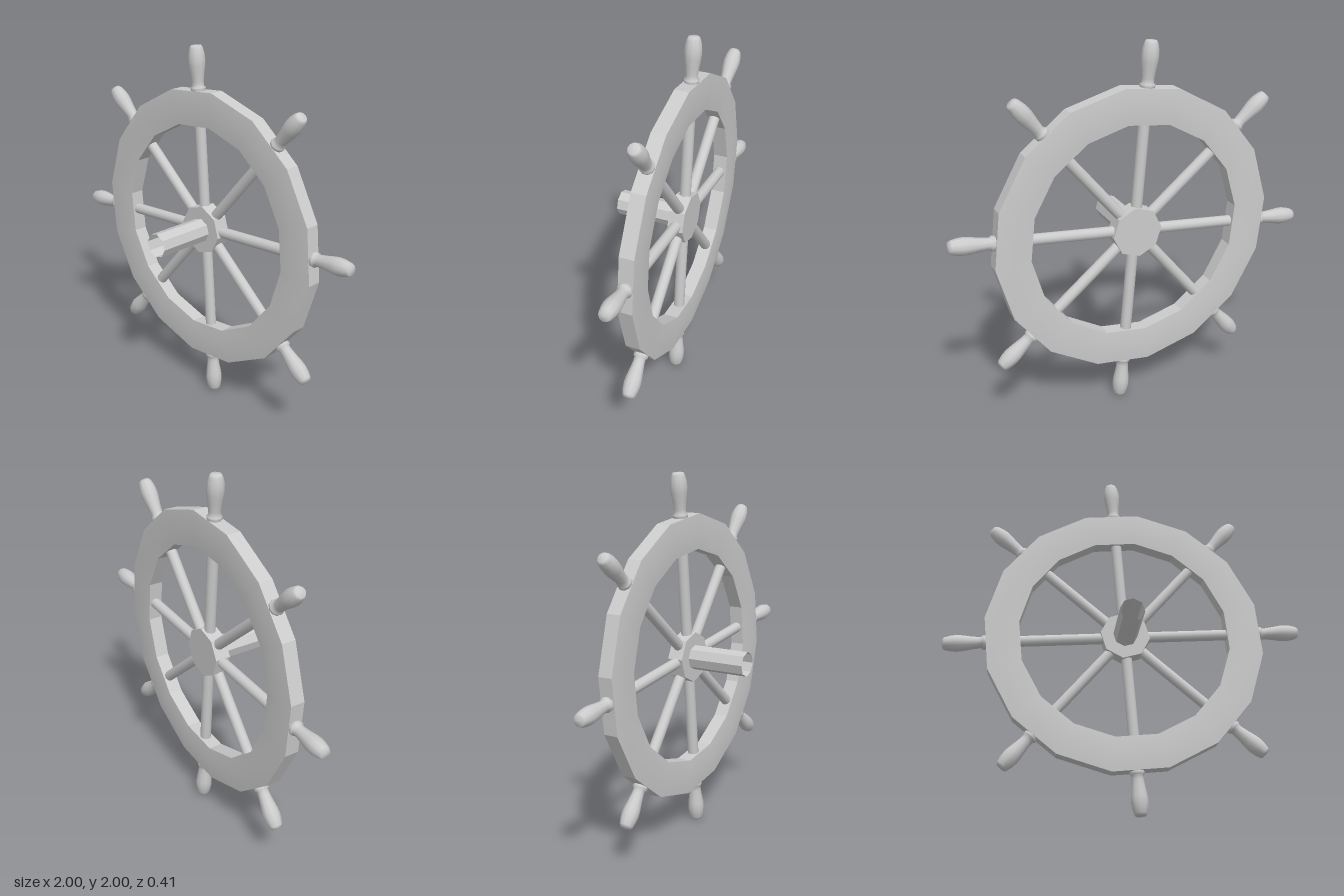
import * as THREE from 'three';
import { toCreasedNormals } from 'three/addons/utils/BufferGeometryUtils.js';

const SPOKES = 8;
const TILT = THREE.MathUtils.degToRad(5);
const WHEEL_Z = -0.157;

const points = (list) => list.map(([r, y]) => new THREE.Vector2(r, y));

// Faceted ring-like solid turned about the z axis
function turned(profile, sides) {
  const geo = new THREE.LatheGeometry(points(profile), sides);
  geo.rotateX(Math.PI / 2);
  geo.rotateZ(-TILT);
  return toCreasedNormals(geo, 0.35);
}

export function createModel() {
  const model = new THREE.Group();
  model.name = 'shipWheel';
  const material = new THREE.MeshStandardMaterial({ color: 0xcccccc });
  const openMaterial = new THREE.MeshStandardMaterial({ color: 0xcccccc, side: THREE.DoubleSide });

  const wheel = new THREE.Group();
  wheel.name = 'wheel';
  wheel.position.set(0, 1, WHEEL_Z);
  model.add(wheel);

  const add = (parent, name, geo, mat = material) => {
    const mesh = new THREE.Mesh(geo, mat);
    mesh.name = name;
    parent.add(mesh);
  };

  // Sixteen-sided rim with slightly crowned faces
  add(wheel, 'rim', turned([
    [0.59, -0.039], [0.685, -0.047], [0.78, -0.039],
    [0.78, 0.039], [0.685, 0.047], [0.59, 0.039], [0.59, -0.039],
  ], 16));

  // Hub with a hollow axle open at the front
  add(wheel, 'hubAndAxle', turned([
    [0, -0.043], [0.138, -0.043], [0.138, 0.043], [0.067, 0.043], [0.067, 0.365],
  ], 8), openMaterial);

  // Spokes run from the hub centre into the rim; turned handles continue outside it
  const spokeGeo = new THREE.CylinderGeometry(0.03, 0.03, 0.7, 12);
  spokeGeo.translate(0, 0.35, 0);
  const handleGeo = new THREE.LatheGeometry(points([
    [0.033, 0.74], [0.04, 0.772], [0.04, 0.783], [0.032, 0.788], [0.032, 0.81],
    [0.037, 0.85], [0.044, 0.895], [0.046, 0.925], [0.043, 0.955],
    [0.036, 0.985], [0.028, 0.999], [0, 1.002],
  ]), 10);

  for (let i = 0; i < SPOKES; i++) {
    const arm = new THREE.Group();
    arm.name = `arm${i + 1}`;
    arm.rotation.z = TILT + (i * Math.PI * 2) / SPOKES;
    add(arm, 'spoke', spokeGeo);
    add(arm, 'handle', handleGeo);
    wheel.add(arm);
  }
  return model;
}
